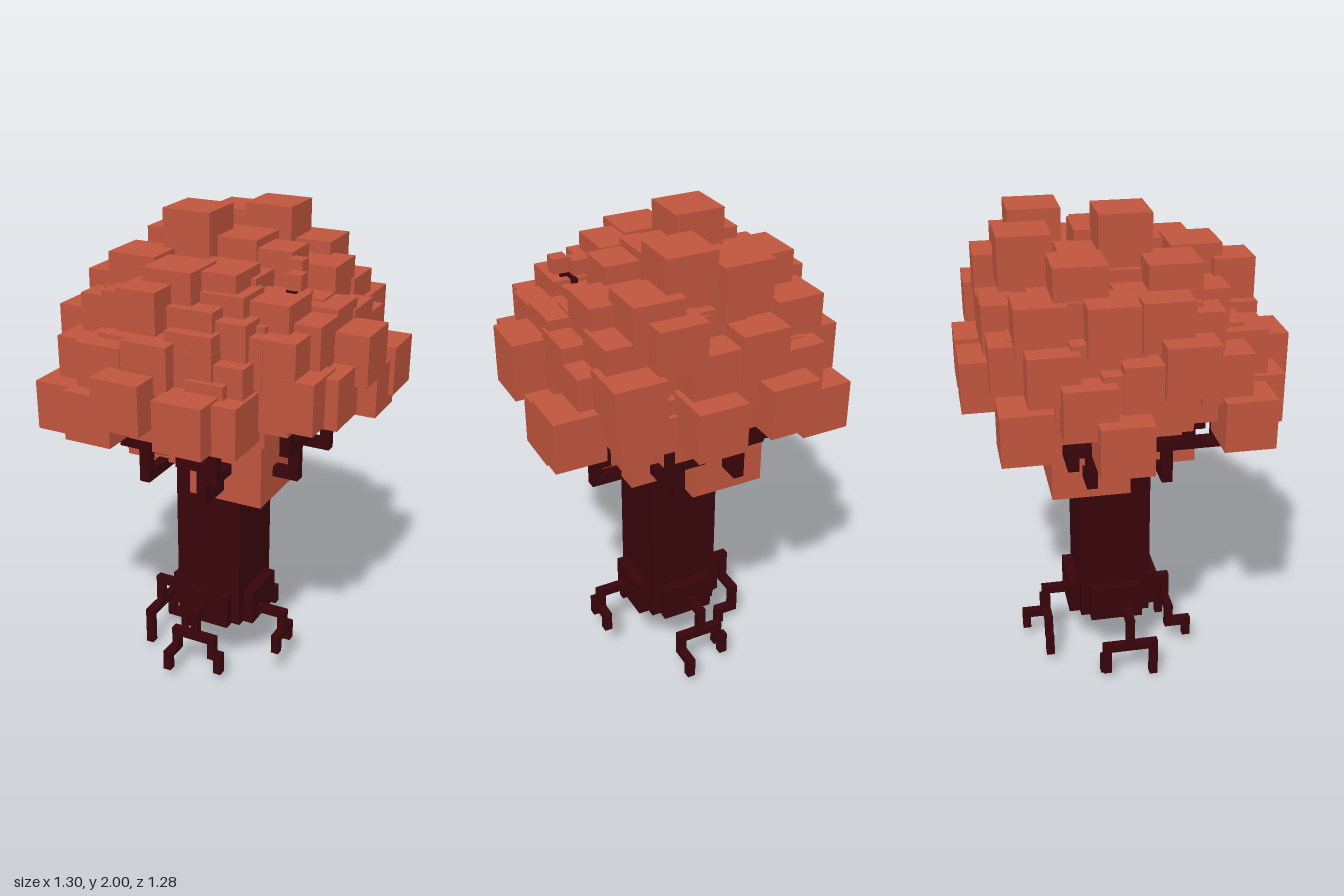
import * as THREE from 'three';

const leaf = new THREE.MeshStandardMaterial({ color: 0xc0553e, flatShading: true });
const bark = new THREE.MeshStandardMaterial({ color: 0x38040a, flatShading: true });

function box(parent, name, mat, size, pos) {
  const mesh = new THREE.Mesh(new THREE.BoxGeometry(...size), mat);
  mesh.position.set(...pos);
  mesh.name = name;
  parent.add(mesh);
}

// Leaf cubes of one size at a list of centres
function cubes(parent, name, size, centres) {
  for (const p of centres) box(parent, name, leaf, [size, size, size], p);
}

// Square-section stick following axis-aligned segments
function stick(parent, name, t, points) {
  for (let i = 1; i < points.length; i++) {
    const a = points[i - 1], b = points[i];
    const size = a.map((v, k) => Math.abs(v - b[k]) + t);
    box(parent, name, bark, size, a.map((v, k) => (v + b[k]) / 2));
  }
}

// Group whose local +z points away from the trunk
function facing(parent, name, angle, x = 0, y = 0, z = 0) {
  const g = new THREE.Group();
  g.name = name;
  g.rotation.y = angle;
  g.position.set(x, y, z);
  parent.add(g);
  return g;
}

// Small seeded generator for the irregular leaf blocks
let seed = 11;
function jitter(amount) {
  seed = (seed * 16807) % 2147483647;
  return (seed / 2147483647 - 0.5) * 2 * amount;
}

function addTrunk(tree) {
  const g = facing(tree, 'trunk', 0, -0.008, 0, -0.037);
  box(g, 'trunkCore', bark, [0.295, 0.95, 0.295], [0, 0.715, 0]);
  box(g, 'trunkFlareSide', bark, [0.385, 0.15, 0.22], [0, 0.315, 0]);
  box(g, 'trunkFlareFront', bark, [0.22, 0.15, 0.385], [0, 0.315, 0]);
}

function addRoots(tree) {
  const t = 0.034;
  // Front and back roots fork into two stepped legs
  for (const [angle, z] of [[0, 0], [Math.PI, -0.11]]) {
    const g = facing(tree, 'forkedRoot', angle, -0.02, 0, z);
    stick(g, 'rootStem', t, [[0, 0.305, 0.1], [0, 0.305, 0.21], [0, 0.2, 0.21]]);
    stick(g, 'rootLeg', t, [[0, 0.2, 0.21], [-0.09, 0.2, 0.21], [-0.09, 0.125, 0.21],
      [-0.09, 0.125, 0.29], [-0.09, 0.07, 0.29]]);
    stick(g, 'rootLeg', t, [[0, 0.2, 0.21], [0.08, 0.2, 0.21], [0.08, 0.125, 0.21],
      [0.11, 0.125, 0.21], [0.11, 0.06, 0.21]]);
  }
  // Right-hand root
  const right = facing(tree, 'rightRoot', 0);
  stick(right, 'rootStem', t, [[-0.18, 0.29, 0], [-0.308, 0.29, 0], [-0.308, 0.17, 0]]);
  stick(right, 'rootLeg', t, [[-0.308, 0.17, 0], [-0.308, 0.17, 0.1], [-0.308, 0.035, 0.1]]);
  stick(right, 'rootLeg', t, [[-0.308, 0.17, 0], [-0.308, 0.17, -0.1],
    [-0.308, 0.065, -0.1], [-0.24, 0.065, -0.1], [-0.24, 0.017, -0.1]]);
  // Left-hand root
  const left = facing(tree, 'leftRoot', 0);
  stick(left, 'rootStem', t, [[0.17, 0.29, 0.01], [0.297, 0.29, 0.01], [0.297, 0.2, 0.01]]);
  stick(left, 'rootLeg', t, [[0.297, 0.2, 0.07], [0.297, 0.2, -0.05], [0.297, 0.147, -0.05]]);
  stick(left, 'rootLeg', t, [[0.297, 0.2, 0.07], [0.297, 0.147, 0.07]]);
}

function addBranches(tree) {
  const t = 0.042, h = Math.PI / 2;
  // [direction, sideways offset, base height, outward reach of one arm]
  const spots = [
    [0, -0.13, 1.02, 0], [0, 0.12, 0.98, 0.08],
    [h, -0.13, 1.03, 0], [h, 0.19, 1.03, 0],
    [2 * h, -0.13, 1.0, 0.08], [2 * h, 0.13, 1.03, 0],
    [3 * h, -0.17, 1.02, 0.1], [3 * h, 0.12, 1.02, 0],
  ];
  spots.forEach(([angle, u, y, reach], i) => {
    const g = facing(tree, 'branch', angle);
    const s = i % 2 ? 1 : -1, fork = y + 0.135, r = 0.385;
    stick(g, 'branchStem', t, [[u, y, 0.2], [u, y, r], [u, fork, r]]);
    stick(g, 'branchArm', t, [[u, fork, r], [u - 0.09 * s, fork, r], [u - 0.09 * s, y + 0.24, r]]);
    stick(g, 'branchArm', t, [[u, fork, r], [u + 0.085 * s, fork, r],
      [u + 0.085 * s, fork, r + reach], [u + 0.085 * s, y + 0.24, r + reach]]);
  });
}

function addCrown(tree) {
  const g = facing(tree, 'crown', 0);
  // Solid heart behind the leaf blocks
  box(g, 'crownHeart', leaf, [0.66, 0.46, 0.66], [0, 1.44, -0.02]);
  box(g, 'crownHeartTop', leaf, [0.46, 0.16, 0.46], [0, 1.72, -0.05]);

  // Four large blocks round the top of the trunk, two low and two higher
  cubes(g, 'lowLeafBlock', 0.31, [
    [0.145, 1.07, 0.105], [-0.135, 1.055, -0.155], [0.13, 1.18, -0.15], [-0.14, 1.18, 0.1],
  ]);

  // Outermost blocks
  cubes(g, 'outerLeafBlock', 0.198, [
    [-0.215, 1.41, -0.54], [0.08, 1.39, -0.54], [0.37, 1.52, -0.48], [0.54, 1.37, -0.34],
    [0.52, 1.32, -0.2], [0.55, 1.52, 0], [0.5, 1.4, 0.16], [0.45, 1.41, 0.27],
    [0.23, 1.34, 0.44], [0.135, 1.35, 0.52], [-0.107, 1.4, 0.54], [-0.27, 1.3, 0.48],
    [-0.45, 1.28, 0.4], [-0.48, 1.52, 0.17], [-0.55, 1.265, -0.08], [-0.49, 1.39, -0.2],
    [-0.44, 1.29, -0.42],
  ]);

  // Blocks of the sloping middle of the crown, clockwise from the front
  cubes(g, 'middleLeafBlock', 0.19, [
    [-0.05, 1.52, 0.43], [0.1, 1.56, 0.37], [0.22, 1.46, 0.36], [0.2, 1.6, 0.3],
    [0.38, 1.55, 0.27], [0.42, 1.58, 0.14], [0.45, 1.4, 0.05], [0.42, 1.6, -0.02],
    [0.43, 1.56, -0.17], [0.43, 1.5, -0.3], [0.35, 1.62, -0.36], [0.33, 1.4, -0.42],
    [0.19, 1.69, -0.45], [0.06, 1.56, -0.45], [-0.14, 1.6, -0.45], [-0.3, 1.5, -0.44],
    [-0.34, 1.65, -0.35], [-0.43, 1.5, -0.32], [-0.41, 1.66, -0.1], [-0.45, 1.45, 0.02],
    [-0.39, 1.66, 0.1], [-0.35, 1.6, 0.22], [-0.4, 1.45, 0.32], [-0.22, 1.64, 0.27],
    [-0.25, 1.48, 0.42],
  ]);

  // Topmost blocks
  cubes(g, 'topLeafBlock', 0.2, [
    [-0.105, 1.9, -0.005], [0.092, 1.88, -0.315], [-0.1, 1.835, -0.375], [0.06, 1.8, -0.07],
    [-0.29, 1.77, -0.2], [-0.255, 1.75, 0.15], [-0.03, 1.75, 0.28], [0.11, 1.74, 0.2],
    [0.33, 1.7, -0.2], [0.31, 1.65, 0.18], [0.24, 1.75, -0.36],
  ]);
  cubes(g, 'topLeafBlock', 0.16, [[-0.09, 1.72, 0.42], [0.22, 1.79, -0.06], [-0.11, 1.78, -0.17]]);

  // Rings of irregular blocks filling the gaps
  for (const [y, r, n] of [[1.29, 0.37, 12], [1.38, 0.44, 15], [1.52, 0.41, 14], [1.65, 0.32, 12]]) {
    for (let i = 0; i < n; i++) {
      const a = (i + jitter(0.25) + y * 5) / n * Math.PI * 2;
      const rr = r + jitter(0.03);
      const s = 0.175 + jitter(0.025);
      box(g, 'leafBlock', leaf, [s, s, s], [Math.sin(a) * rr, y + jitter(0.035), Math.cos(a) * rr - 0.02]);
    }
  }

  // Small sprig on the upper left
  stick(g, 'sprigTwig', 0.016, [[0.335, 1.7, 0.08], [0.335, 1.755, 0.08]]);
  stick(g, 'sprigTwig', 0.016, [[0.335, 1.755, 0.05], [0.335, 1.755, 0.12], [0.36, 1.755, 0.12]]);
  cubes(g, 'sprigLeaf', 0.06, [[0.33, 1.825, 0.03], [0.37, 1.8, 0.13]]);
}

export function createModel() {
  const tree = new THREE.Group();
  tree.name = 'blockTree';
  addTrunk(tree);
  addRoots(tree);
  addBranches(tree);
  addCrown(tree);
  return tree;
}
